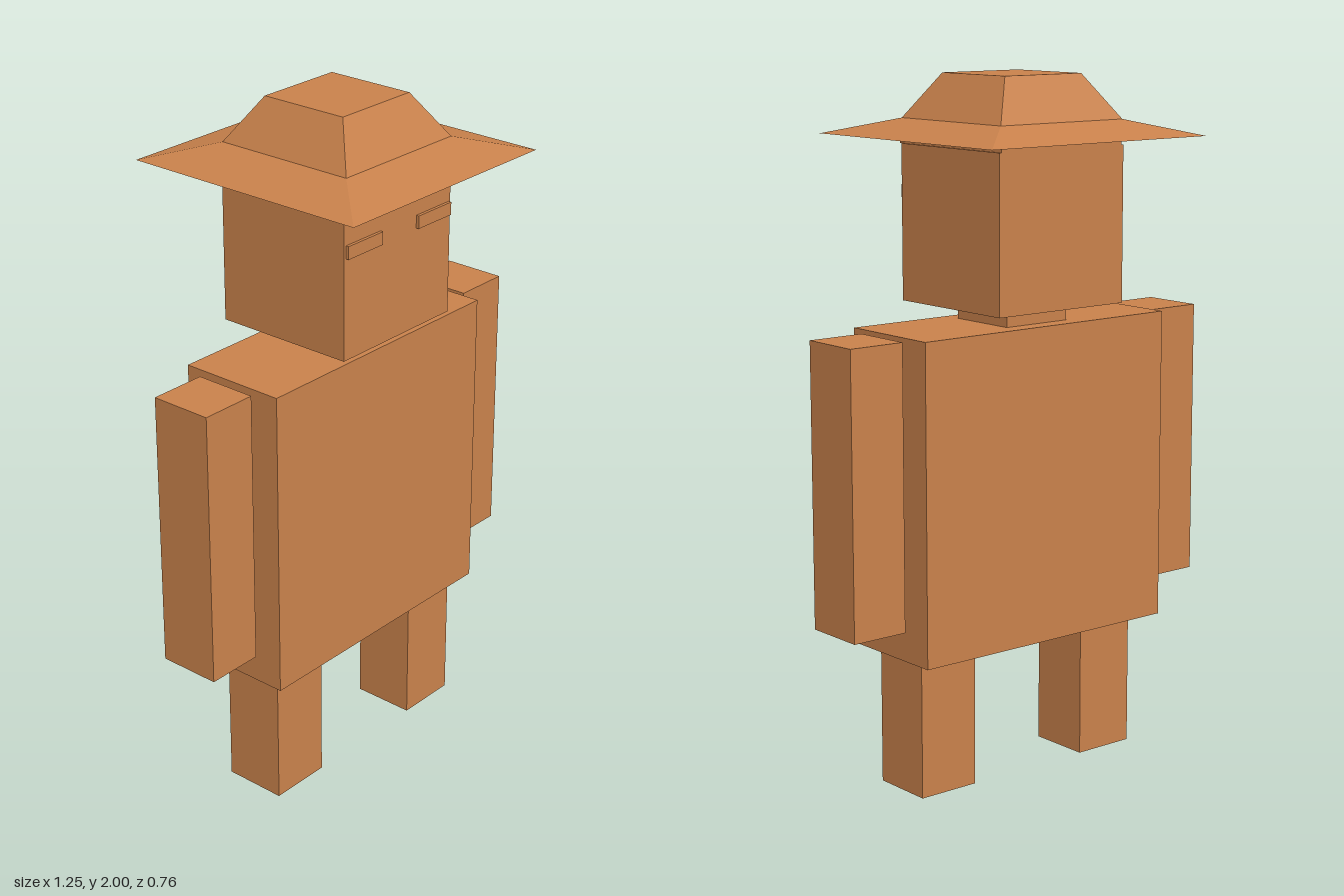
import * as THREE from 'three';

export function createModel() {
  const model = new THREE.Group();
  const clay = new THREE.MeshStandardMaterial({ color: 0xc8814b, flatShading: true });
  clay.name = 'clay brown';

  function add(name, geometry, x, y, z) {
    const mesh = new THREE.Mesh(geometry, clay);
    mesh.name = name;
    mesh.position.set(x, y, z);
    model.add(mesh);
  }

  // Box given by its extents on each axis
  function box(name, [x0, x1], [y0, y1], [z0, z1]) {
    add(name, new THREE.BoxGeometry(x1 - x0, y1 - y0, z1 - z0),
      (x0 + x1) / 2, (y0 + y1) / 2, (z0 + z1) / 2);
  }

  // Square tapered block, from half-width low to half-width high
  function frustum(name, low, high, y0, y1) {
    const g = new THREE.CylinderGeometry(high * Math.SQRT2, low * Math.SQRT2, y1 - y0, 4, 1, false, Math.PI / 4);
    add(name, g, 0, (y0 + y1) / 2, 0);
  }

  // Body and head
  box('torso', [-0.432, 0.43], [0.405, 1.312], [-0.16, 0.162]);
  box('neck', [-0.11, 0.106], [1.312, 1.362], [-0.107, 0.109]);
  box('head', [-0.217, 0.213], [1.362, 1.835], [-0.214, 0.217]);
  box('browBand', [-0.217, 0.213], [1.804, 1.835], [0.217, 0.232]);

  // Thin panels on the sides of the head
  box('rightHeadPanel', [-0.225, -0.217], [1.362, 1.804], [-0.214, 0.217]);
  box('leftHeadPanel', [0.213, 0.219], [1.362, 1.804], [-0.214, 0.217]);

  // Narrow raised eyes
  box('rightEye', [-0.217, -0.077], [1.653, 1.69], [0.217, 0.226]);
  box('leftEye', [0.073, 0.213], [1.653, 1.69], [0.217, 0.226]);

  // Arms and legs
  for (const [side, s] of [['left', 1], ['right', -1]]) {
    const span = (a, b) => (s > 0 ? [a, b] : [-b, -a]);
    box(side + 'Arm', span(0.455, 0.626), [0.5, 1.306], [-0.093, 0.093]);
    box(side + 'Leg', span(0.199, 0.388), [0, 0.405], [-0.077, 0.111]);
  }

  // Hat
  frustum('hatBrim', 0.381, 0.217, 1.83, 1.875);
  frustum('hatCrown', 0.217, 0.136, 1.875, 2);

  return model;
}
